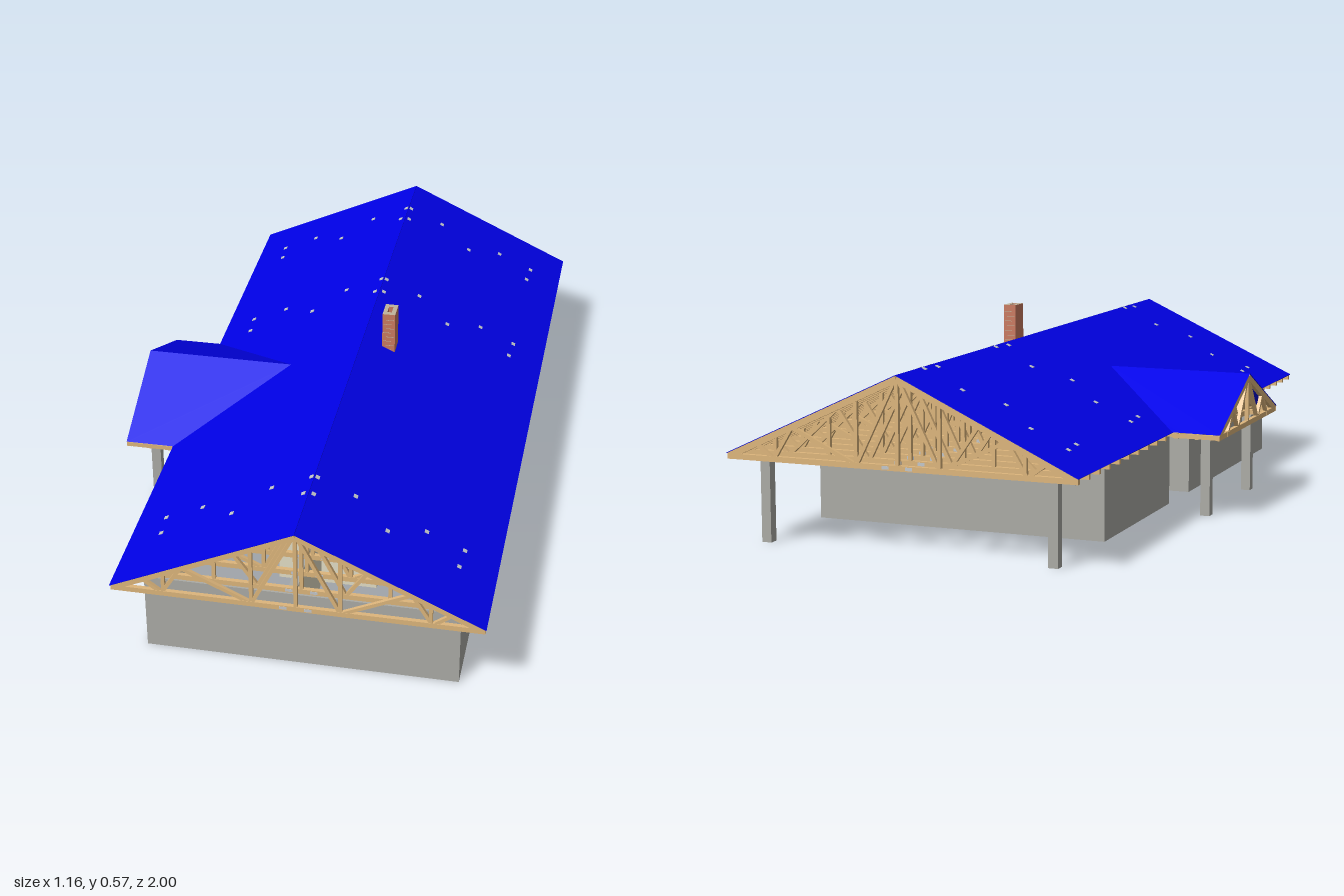
import * as THREE from 'three';

const mat = (name, color, extra = {}) => Object.assign(new THREE.MeshStandardMaterial({ color, ...extra }), { name });

const RIDGE_X = 0.068, RIDGE_Y = 0.486, EAVE_Y = 0.249, HALF = 0.507;
const SLOPE = (RIDGE_Y - EAVE_Y) / HALF;
const WALL_H = 0.232, WALL_T = 0.024;

export function createModel() {
  const model = new THREE.Group();
  model.name = 'timberRoofHouse';

  const roofBlue = mat('roofBlue', 0x0000ec, { side: THREE.DoubleSide });
  const wood = mat('timber', 0xdeb67c);
  const wallGrey = mat('wallGrey', 0xacaca6);
  const plaster = mat('plaster', 0xe4dfc6);
  const brick = mat('brick', 0xca7a60);
  const capStone = mat('capStone', 0xc0b49c);
  const metal = mat('metalPlate', 0xc4c8cc);

  const add = (parent, name, geometry, material) => {
    const mesh = new THREE.Mesh(geometry, material);
    mesh.name = name;
    parent.add(mesh);
    return mesh;
  };
  const box = (parent, name, material, w, h, d, x, y, z) => {
    const mesh = add(parent, name, new THREE.BoxGeometry(w, h, d), material);
    mesh.position.set(x, y, z);
    return mesh;
  };

  // Floor plan points are [x, z]; the plan is extruded upward, holes wound opposite to the outline
  const toV = (pts) => pts.map(([x, z]) => new THREE.Vector2(x, -z));
  const rect = (x0, x1, z0, z1) => [[x0, z0], [x1, z0], [x1, z1], [x0, z1]];
  const extrudePlan = (outline, holes, depth) => {
    const shape = new THREE.Shape(toV(outline));
    holes.forEach((h) => shape.holes.push(new THREE.Path(toV(h).reverse())));
    return new THREE.ExtrudeGeometry(shape, { depth, bevelEnabled: false }).rotateX(-Math.PI / 2);
  };
  // Moves every edge of a right-angled plan inward by d
  const inset = (pts, d) => pts.map((p, i) => {
    const a = pts[(i + pts.length - 1) % pts.length], b = pts[(i + 1) % pts.length];
    const n = (q, r) => [-Math.sign(r[1] - q[1]), Math.sign(r[0] - q[0])];
    const n1 = n(a, p), n2 = n(p, b);
    return [p[0] + d * (n1[0] + n2[0]), p[1] + d * (n1[1] + n2[1])];
  });

  // Walls: grey outer skin, plastered inner skin with the rooms cut out
  const footprint = [[-0.365, -0.61], [0.5, -0.61], [0.5, 0.925], [-0.365, 0.925],
    [-0.365, 0.126], [-0.225, 0.126], [-0.225, -0.06], [-0.365, -0.06]];
  const lining = inset(footprint, WALL_T / 2);
  const rooms = [
    rect(-0.341, 0.476, -0.586, -0.084),
    rect(-0.048, 0.188, -0.06, 0.54),
    [[-0.341, 0.15], [-0.201, 0.15], [-0.201, -0.06], [-0.072, -0.06],
      [-0.072, 0.564], [0.028, 0.564], [0.028, 0.901], [-0.341, 0.901]],
    [[0.212, -0.06], [0.476, -0.06], [0.476, 0.901], [0.052, 0.901], [0.052, 0.564], [0.212, 0.564]],
  ];
  add(model, 'outerWalls', extrudePlan(footprint, [lining], WALL_H), wallGrey);
  add(model, 'innerWalls', extrudePlan(lining, rooms, WALL_H), [wallGrey, plaster]);

  // Posts under the porch and the rear overhang
  [[-0.516, 0.234], [-0.516, -0.174], [-0.35, -0.935], [0.485, -0.935]].forEach(([x, z]) =>
    box(model, 'post', wallGrey, 0.028, WALL_H, 0.028, x, WALL_H / 2, z));

  // Chimney with an open flue and pale mortar courses
  const chimney = add(model, 'chimney',
    extrudePlan(rect(0.124, 0.162, -0.063, -0.003), [rect(0.136, 0.149, -0.049, -0.018)], 0.568), [capStone, brick]);
  chimney.position.y = 0.002;
  for (let i = 0; i < 22; i++) {
    [-0.063, -0.003].forEach((z) =>
      box(model, 'mortarCourse', capStone, 0.024, 0.0015, 0.001, 0.143 + (i % 2 ? 0.004 : -0.004), 0.25 + i * 0.0143, z));
  }

  // Main roof: two thin sloping sheets, the one on the +x side opened around the flue
  const angle = Math.atan(SLOPE), cos = Math.cos(angle);
  const sheetLength = HALF / cos, sheet = 0.0015;
  [1, -1].forEach((side) => {
    const holes = side > 0 ? [rect((0.13 - RIDGE_X) / cos, (0.155 - RIDGE_X) / cos, -0.055, -0.012)] : [];
    const slope = add(model, 'mainRoofSlope', extrudePlan(rect(0, sheetLength, -1, 1), holes, sheet), roofBlue);
    slope.rotation.set(0, side > 0 ? 0 : Math.PI, -angle, 'YXZ');
    slope.position.set(RIDGE_X, RIDGE_Y - sheet, 0);
  });

  // Porch roof running into the main slope along two valleys
  const porchZ = 0.036, porchHalf = 0.294, porchRise = porchHalf * SLOPE;
  const eaveX = RIDGE_X - HALF, porchX = -0.58;
  [1, -1].forEach((side) => {
    const y0 = EAVE_Y, y1 = EAVE_Y + porchRise, ze = porchZ + side * porchHalf;
    const lift = 0.001;
    const corners = [[porchX, y0, ze], [eaveX, y0 + lift, ze], [eaveX + porchHalf, y1 + lift, porchZ], [porchX, y1, porchZ]];
    const g = new THREE.BufferGeometry();
    g.setAttribute('position', new THREE.Float32BufferAttribute(corners.flat(), 3));
    g.setIndex(side > 0 ? [0, 1, 2, 0, 2, 3] : [0, 2, 1, 0, 3, 2]);
    g.computeVertexNormals();
    add(model, 'porchRoofSlope', g, roofBlue);
    // Eave board under the porch roof edge
    box(model, 'porchEaveBoard', wood, 0.14, 0.013, 0.008, -0.509, 0.2405, ze - side * 0.005);
  });

  // One straight timber in the plane of a truss
  const timber = (parent, name, [x0, y0], [x1, y1], width, depth = 0.012) => {
    const m = box(parent, name, wood, Math.hypot(x1 - x0, y1 - y0), width, depth, (x0 + x1) / 2, (y0 + y1) / 2, 0);
    m.rotation.z = Math.atan2(y1 - y0, x1 - x0);
  };

  // Truss centred on its ridge; webs are [bottom u, top u] and are mirrored
  const BOTTOM = 0.24;
  const truss = (name, half, webs, plates) => {
    const g = new THREE.Group();
    g.name = name;
    const topY = (u) => EAVE_Y + (half - Math.abs(u)) * SLOPE - 0.0115;
    timber(g, 'bottomChord', [-half + 0.002, BOTTOM], [half - 0.002, BOTTOM], 0.015);
    timber(g, 'kingPost', [0, BOTTOM], [0, topY(0) - 0.004], 0.01, 0.011);
    [1, -1].forEach((s) => {
      timber(g, 'topChord', [s * (half - 0.006), topY(half - 0.006)], [0, topY(0)], 0.018);
      webs.forEach(([b, t]) => timber(g, 'web', [s * b, BOTTOM], [s * t, topY(t)], 0.01, 0.01));
      plates.forEach((u) => box(g, 'jointPlate', metal, 0.02, 0.009, 0.0135, s * u, BOTTOM, 0));
    });
    model.add(g);
    return g;
  };

  // Main trusses alternate between two web patterns
  const websA = [[0.12, 0.12], [0.12, 0.005], [0.12, 0.31], [0.365, 0.31], [0.365, 0.418], [0.36, 0.36]];
  const websB = [[0.12, 0.005], [0.12, 0.213], [0.36, 0.213], [0.36, 0.41], [0.24, 0.24]];
  const COUNT = 27;
  for (let i = 0; i < COUNT; i++) {
    const t = truss('mainTruss', HALF, i % 2 ? websB : websA, [0.034]);
    t.position.set(RIDGE_X, 0, -0.99 + (1.98 * i) / (COUNT - 1));
  }

  // Porch trusses span across the porch and continue a little under the main roof
  [-0.572, -0.51, -0.45, -0.39, -0.33].forEach((x) => {
    const t = truss('porchTruss', porchHalf, [[0.1, 0.005], [0.1, 0.15], [0.2, 0.15]], []);
    t.rotation.y = Math.PI / 2;
    t.position.set(x, 0, porchZ);
  });
  // Porch bearers over the posts
  [0.234, -0.174].forEach((z) => box(model, 'porchBearer', wood, 0.215, 0.014, 0.018, -0.472, 0.24, z));

  // Joint plates showing through the main roof
  const rowA = [-0.35, -0.245, -0.05, 0.06, 0.076, 0.18, 0.375, 0.48];
  const rowB = [-0.345, -0.145, 0.053, 0.08, 0.28, 0.475];
  [[rowA, [-0.84, -0.36, 0.73]], [rowB, [-0.77, -0.285, 0.805]]].forEach(([xs, zs]) =>
    zs.forEach((z) => xs.forEach((x) => {
      const plate = box(model, 'roofPlate', metal, 0.012, 0.004, 0.013, x, RIDGE_Y - Math.abs(x - RIDGE_X) * SLOPE, z);
      plate.rotation.z = x > RIDGE_X ? -angle : angle;
    })));

  return model;
}
